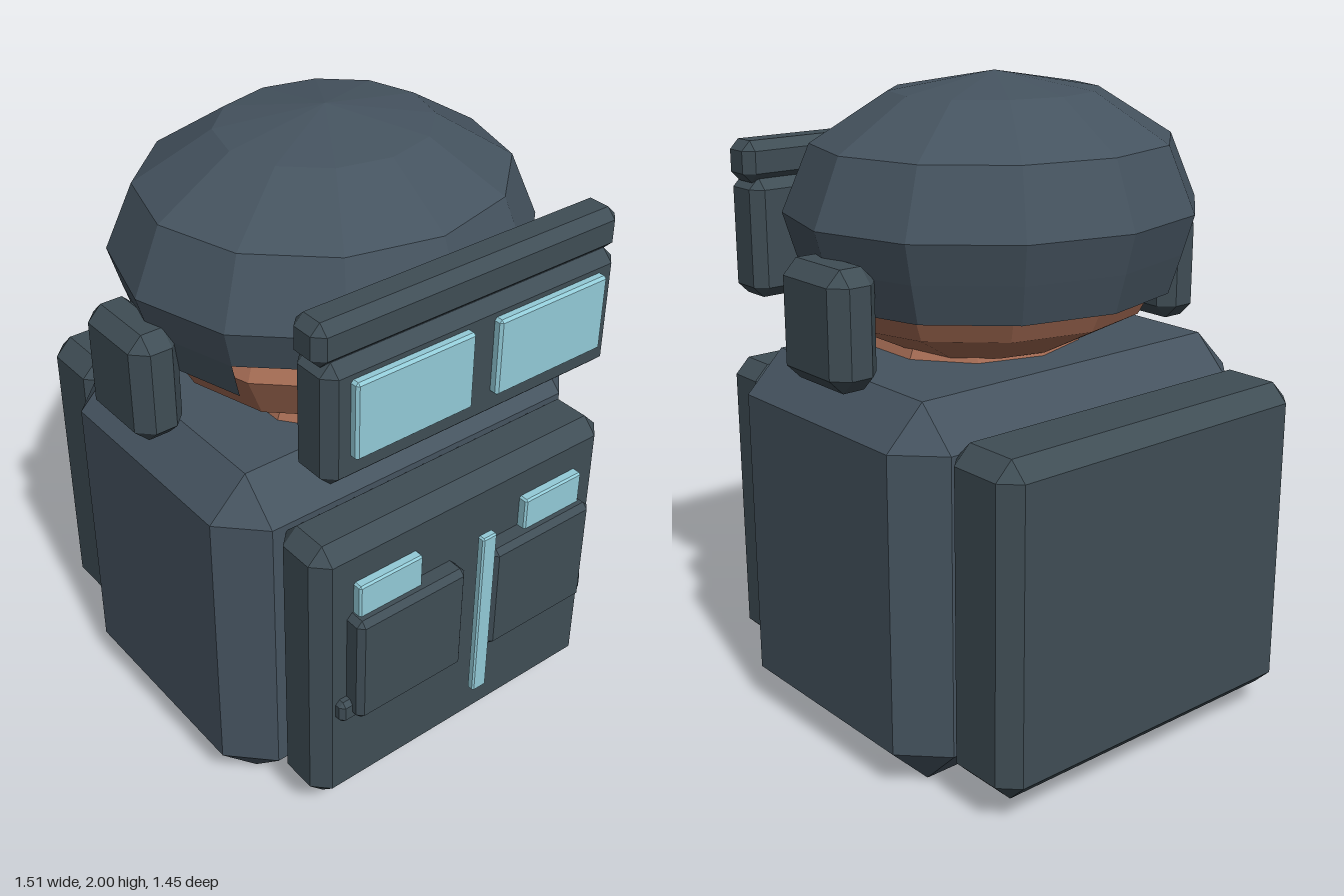
import * as THREE from 'three';
import { ConvexGeometry } from 'three/addons/geometries/ConvexGeometry.js';

const paint = (color) => new THREE.MeshStandardMaterial({ color, flatShading: true });

// Box given by its limits, with every edge chamfered by c
function chamferBox([x0, x1], [y0, y1], [z0, z1], c) {
  const h = [(x1 - x0) / 2, (y1 - y0) / 2, (z1 - z0) / 2];
  const points = [];
  for (const sx of [-1, 1]) for (const sy of [-1, 1]) for (const sz of [-1, 1]) {
    for (let axis = 0; axis < 3; axis++) {
      const [x, y, z] = h.map((v, i) => (i === axis ? v : v - c));
      points.push(new THREE.Vector3(sx * x, sy * y, sz * z));
    }
  }
  return new ConvexGeometry(points).translate((x0 + x1) / 2, (y0 + y1) / 2, (z0 + z1) / 2);
}

// Faceted dome whose lower edge is raised over the face (+x side)
function helmetGeometry() {
  const rows = [[0, 2], [0.5, 1.946], [0.866, 1.8], [1, 1.6], [0.945, 1.48], [0.885, 1.36]];
  const sides = 12, positions = [];
  const at = (row, i) => {
    const a = (i / sides) * Math.PI * 2, [r, y] = rows[row];
    return [-0.02 + Math.cos(a) * r * 0.6, y, -Math.sin(a) * r * 0.655];
  };
  for (let i = 0; i < sides; i++) {
    const overFace = i < 2 || i >= sides - 2;
    const last = overFace ? rows.length - 2 : rows.length - 1;
    for (let row = 0; row < last; row++) {
      const a = at(row, i), b = at(row + 1, i), c = at(row + 1, i + 1), d = at(row, i + 1);
      positions.push(...a, ...b, ...c);
      if (row > 0) positions.push(...a, ...c, ...d);
    }
  }
  const geometry = new THREE.BufferGeometry();
  geometry.setAttribute('position', new THREE.Float32BufferAttribute(positions, 3));
  geometry.computeVertexNormals();
  return geometry;
}

export function createModel() {
  const model = new THREE.Group();
  const suit = paint(0x45535f), gear = paint(0x3f4d55);
  const glass = paint(0x93cbd8), skin = paint(0xa56c54);
  const shell = paint(0x45535f);
  shell.side = THREE.DoubleSide;

  const add = (name, geometry, material) => {
    const mesh = new THREE.Mesh(geometry, material);
    mesh.name = name;
    model.add(mesh);
    return mesh;
  };
  const box = (name, material, x, y, z, c) => add(name, chamferBox(x, y, z, c), material);
  // The same box on both sides of the z = 0 plane
  const pair = (name, material, x, y, [z0, z1], c) => {
    box(name + 'Right', material, x, y, [z0, z1], c);
    box(name + 'Left', material, x, y, [-z1, -z0], c);
  };

  // Torso, backpack and chest plate
  box('torso', suit, [-0.495, 0.46], [0, 1.17], [-0.68, 0.68], 0.125);
  box('backpack', gear, [-0.76, -0.48], [0.08, 1.09], [-0.578, 0.578], 0.055);
  box('chestPlate', gear, [0.455, 0.665], [0.1, 1.068], [-0.552, 0.552], 0.048);

  // Chest pouches, their clips and glowing panels
  pair('pouch', gear, [0.64, 0.728], [0.45, 0.825], [0.053, 0.453], 0.018);
  pair('pouchClip', gear, [0.64, 0.695], [0.435, 0.51], [0.43, 0.492], 0.014);
  pair('chestPanel', glass, [0.65, 0.695], [0.6, 0.932], [0.2, 0.43], 0.006);
  box('chestStrip', glass, [0.728, 0.755], [0.335, 0.938], [-0.027, 0.027], 0.005);

  // Neck and head
  const neck = add('neck', new THREE.SphereGeometry(1, 10, 6), skin);
  neck.scale.set(0.345, 0.18, 0.365);
  neck.position.set(0.08, 1.14, 0);
  const head = add('head', new THREE.SphereGeometry(1, 12, 6), skin);
  head.scale.set(0.55, 0.287, 0.585);
  head.position.set(0.02, 1.43, 0);

  // Helmet and ear covers
  add('helmet', helmetGeometry(), shell);
  pair('earCover', gear, [-0.22, 0.083], [1.17, 1.522], [0.565, 0.725], 0.045);

  // Visor with brow bar and two lenses
  box('visor', gear, [0.502, 0.665], [1.28, 1.66], [-0.52, 0.52], 0.035);
  box('browBar', gear, [0.515, 0.643], [1.645, 1.775], [-0.535, 0.535], 0.03);
  pair('lens', glass, [0.65, 0.692], [1.37, 1.61], [0.043, 0.447], 0.008);
  return model;
}
